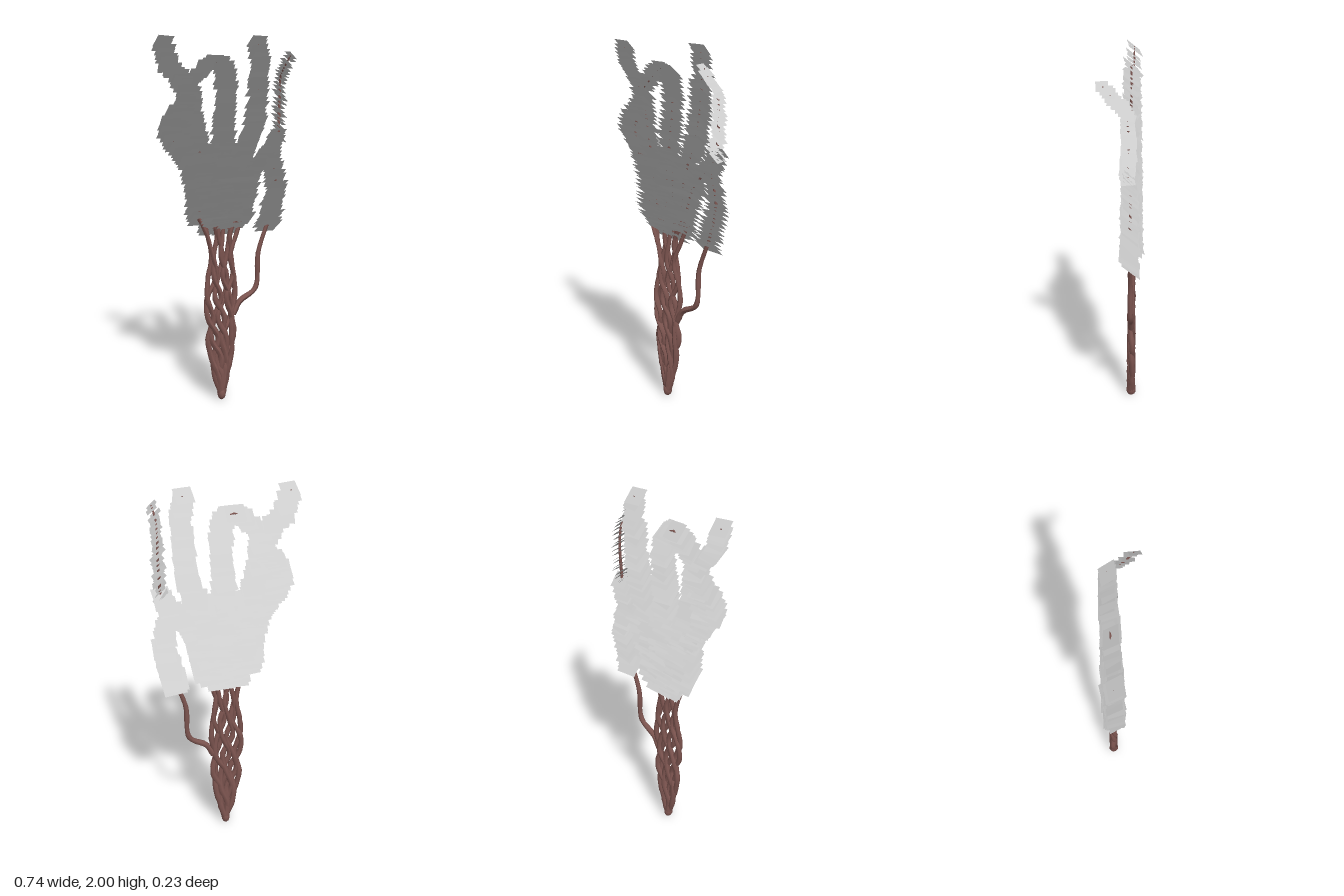
import * as THREE from 'three';
import { mergeGeometries } from 'three/addons/utils/BufferGeometryUtils.js';

const Z = -0.04; // the whole plant lies close to this plane
const leafMat = new THREE.MeshStandardMaterial({ color: 0xcccccc, side: THREE.DoubleSide });
const barkMat = new THREE.MeshStandardMaterial({ color: 0x7d5550, side: THREE.DoubleSide });

// small seeded generator, returns -1..1
let seed = 7;
function jitter() {
  seed = (seed * 16807) % 2147483647;
  return (seed / 2147483647) * 2 - 1;
}

const curveOf = pts => new THREE.CatmullRomCurve3(
  pts.map(([x, y, z = Z]) => new THREE.Vector3(x, y, z)), false, 'centripetal');

// square cards strung along a curve, tilted 40 degrees and turned by yaw
function foliage(name, curve, sizeStart, sizeEnd, yaw) {
  const n = Math.round(curve.getLength() / 0.021);
  const cards = [];
  for (let i = 0; i <= n; i++) {
    const t = i / n;
    const p = curve.getPointAt(t);
    const s = THREE.MathUtils.lerp(sizeStart, sizeEnd, t) * (1 + 0.06 * jitter());
    const card = new THREE.PlaneGeometry(s, s);
    card.rotateZ(0.14 * jitter());
    card.rotateX(THREE.MathUtils.degToRad(-130 + 4 * jitter()));
    card.rotateY(yaw + 0.08 * jitter());
    card.translate(p.x + 0.008 * jitter(), p.y, p.z + 0.006 * jitter());
    cards.push(card);
  }
  const mesh = new THREE.Mesh(mergeGeometries(cards), leafMat);
  mesh.name = name;
  return mesh;
}

// gnarled tube along a curve, tapering from r0 to r1
function stem(name, curve, r0, r1) {
  const sides = 7;
  const segs = Math.max(12, Math.round(curve.getLength() / 0.025));
  const geo = new THREE.TubeGeometry(curve, segs, 1, sides, false);
  const pos = geo.attributes.position;
  const v = new THREE.Vector3();
  for (let i = 0; i <= segs; i++) {
    const t = i / segs;
    const c = curve.getPointAt(t);
    const r = THREE.MathUtils.lerp(r0, r1, t) * (1 + 0.12 * jitter());
    for (let j = 0; j <= sides; j++) {
      const k = i * (sides + 1) + j;
      v.fromBufferAttribute(pos, k).sub(c).multiplyScalar(r).add(c);
      pos.setXYZ(k, v.x, v.y, v.z);
    }
  }
  geo.computeVertexNormals();
  const mesh = new THREE.Mesh(geo, barkMat);
  mesh.name = name;
  return mesh;
}

// a twig covered in cards
function leafyStrand(name, pts, sizeStart, sizeEnd, yaw = 0) {
  const curve = curveOf(pts);
  const group = new THREE.Group();
  group.name = name;
  group.add(foliage('leaves', curve, sizeStart, sizeEnd, yaw), stem('twig', curve, 0.009, 0.004));
  return group;
}

// stems woven around each other: lanes inside a swelling outline, swaying across it
function wovenStems(count) {
  const group = new THREE.Group();
  group.name = 'wovenStems';
  for (let i = 0; i < count; i++) {
    const lane = (2 * i) / (count - 1) - 1;
    const pts = [];
    for (let k = 0; k <= 9; k++) {
      const t = k / 9;
      const y = 0.03 + 1.04 * t;
      const swell = 0.085 * Math.sin(Math.PI * Math.min(t, 0.72)) ** 0.8 + 0.4 * Math.max(0, t - 0.84);
      const sway = 0.45 * Math.sin(k * 1.9 + i * 2.4) * (1 - t ** 4);
      const x = swell * THREE.MathUtils.clamp(lane + sway, -1, 1);
      pts.push([x - 0.01, y, Z + 0.008 * Math.sin(i * 2.1 + k * 1.7)]);
    }
    group.add(stem('stem', curveOf(pts), 0.019, 0.011));
  }
  return group;
}

export function createModel() {
  seed = 7;
  const model = new THREE.Group();
  model.name = 'handShapedPlant';

  // fingers
  model.add(
    leafyStrand('outerFinger', [[-0.13, 1.05], [-0.17, 1.33], [-0.25, 1.52], [-0.2, 1.72],
      [-0.3, 1.87], [-0.325, 1.965]], 0.125, 0.088),
    leafyStrand('loopFinger', [[-0.02, 1], [-0.02, 1.3], [0.02, 1.72], [0, 1.84],
      [-0.05, 1.87], [-0.18, 1.76]], 0.135, 0.085),
    leafyStrand('longFinger', [[0.08, 1.02], [0.11, 1.34], [0.18, 1.55], [0.21, 1.85],
      [0.2, 1.97]], 0.135, 0.085),
    leafyStrand('curledThumb', [[0.32, 1.47, -0.03], [0.325, 1.7, -0.03], [0.32, 1.79, -0.015],
      [0.315, 1.83, 0.025], [0.325, 1.9, 0.085]], 0.072, 0.058, -Math.PI / 2),
  );

  // knuckles, palm and heel
  model.add(
    leafyStrand('outerKnuckle', [[-0.14, 1.3], [-0.3, 1.55], [-0.19, 1.68]], 0.11, 0.09),
    leafyStrand('innerKnuckle', [[-0.08, 1.2], [-0.15, 1.5], [-0.18, 1.72]], 0.125, 0.09),
    leafyStrand('palmLeft', [[-0.05, 1], [-0.11, 1.3], [-0.06, 1.4]], 0.14, 0.12),
    leafyStrand('palmMiddle', [[0.03, 0.99], [0.02, 1.42]], 0.14, 0.12),
    leafyStrand('palmRight', [[0.1, 1.04], [0.16, 1.27], [0.29, 1.43]], 0.125, 0.095),
    leafyStrand('sideHeel', [[0.265, 0.985], [0.315, 1.22], [0.28, 1.4], [0.32, 1.49]], 0.125, 0.085),
  );

  // bare stems below
  model.add(
    wovenStems(8),
    stem('sideStem', curveOf([[0.06, 0.5], [0.1, 0.57], [0.195, 0.635], [0.212, 0.84],
      [0.265, 1]]), 0.017, 0.011),
  );

  // knotted foot where all stems meet
  const foot = new THREE.Mesh(new THREE.SphereGeometry(0.03, 10, 8), barkMat);
  foot.name = 'foot';
  foot.scale.set(0.8, 1.3, 0.95);
  foot.position.set(-0.01, 0.039, Z);
  model.add(foot);

  return model;
}
